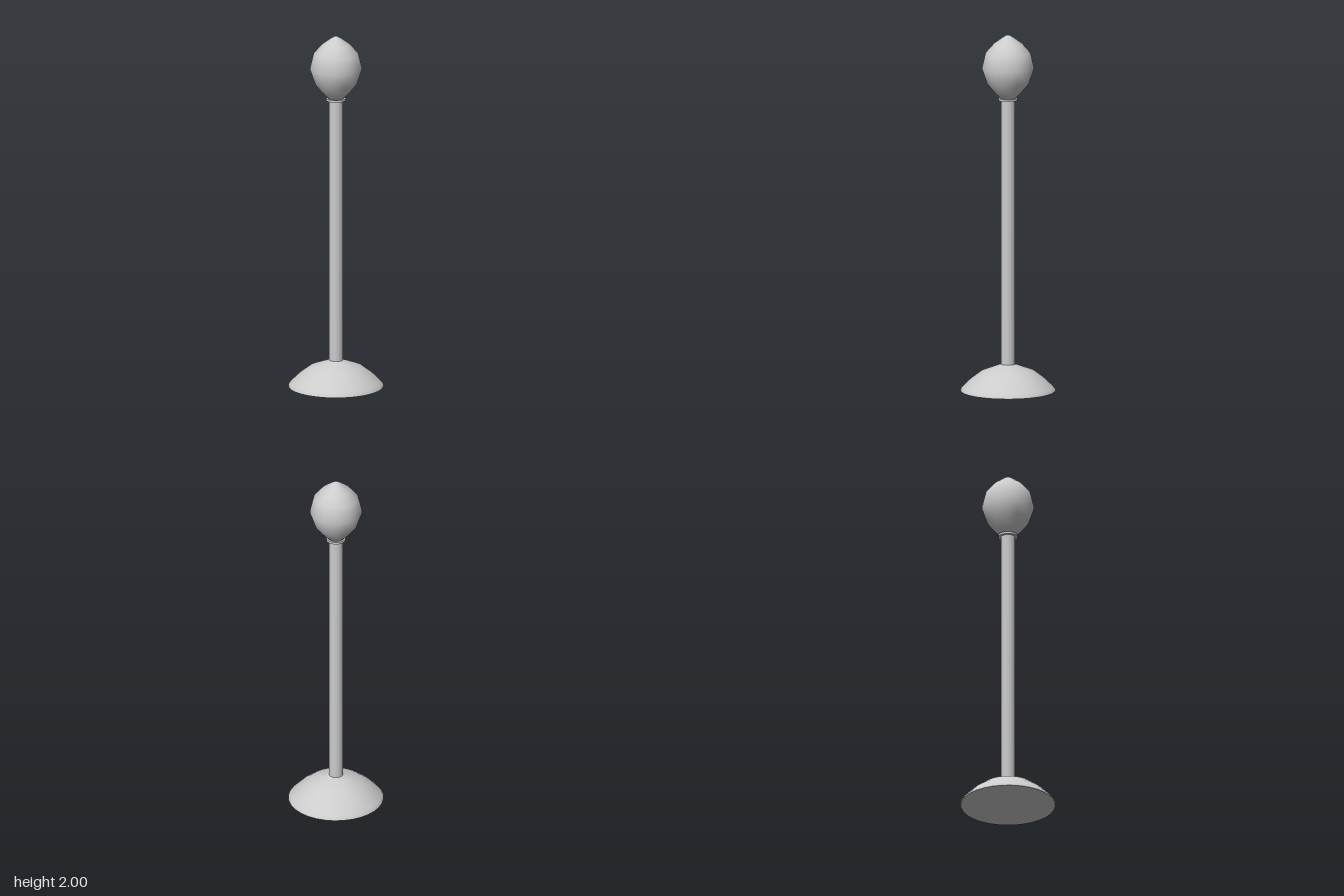
import * as THREE from 'three';

const material = new THREE.MeshStandardMaterial({ color: 0xcccccc, side: THREE.DoubleSide });

// Revolve a profile of [radius, height] pairs, listed from bottom to top
function turned(name, profile, segments = 32) {
  const points = profile.map(([r, y]) => new THREE.Vector2(r, y));
  const mesh = new THREE.Mesh(new THREE.LatheGeometry(points, segments), material);
  mesh.name = name;
  return mesh;
}

export function createModel() {
  const model = new THREE.Group();
  model.name = 'finialPost';

  // Domed foot with a thin rim
  model.add(turned('baseDome', [
    [0.262, 0], [0.264, 0.006], [0.25, 0.022], [0.205, 0.067], [0.147, 0.11], [0.09, 0.131], [0.038, 0.15],
  ]));

  // Flat underside closing the foot
  const underside = new THREE.Mesh(new THREE.CircleGeometry(0.262, 32), material);
  underside.name = 'baseUnderside';
  underside.rotation.x = Math.PI / 2;
  model.add(underside);

  // Straight shaft
  const pole = new THREE.Mesh(new THREE.CylinderGeometry(0.039, 0.039, 1.53, 32), material);
  pole.name = 'pole';
  pole.position.y = 0.875;
  model.add(pole);

  // Thin collar under the finial
  const collar = new THREE.Mesh(new THREE.CylinderGeometry(0.054, 0.054, 0.012, 32), material);
  collar.name = 'collar';
  collar.position.y = 1.638;
  model.add(collar);

  // Bud-shaped finial with a softly pointed tip
  model.add(turned('finial', [
    [0, 1.642], [0.044, 1.642], [0.048, 1.652], [0.066, 1.667], [0.116, 1.727], [0.145, 1.812],
    [0.124, 1.898], [0.078, 1.95], [0.03, 1.985], [0.012, 1.996], [0, 2],
  ], 48));

  return model;
}
